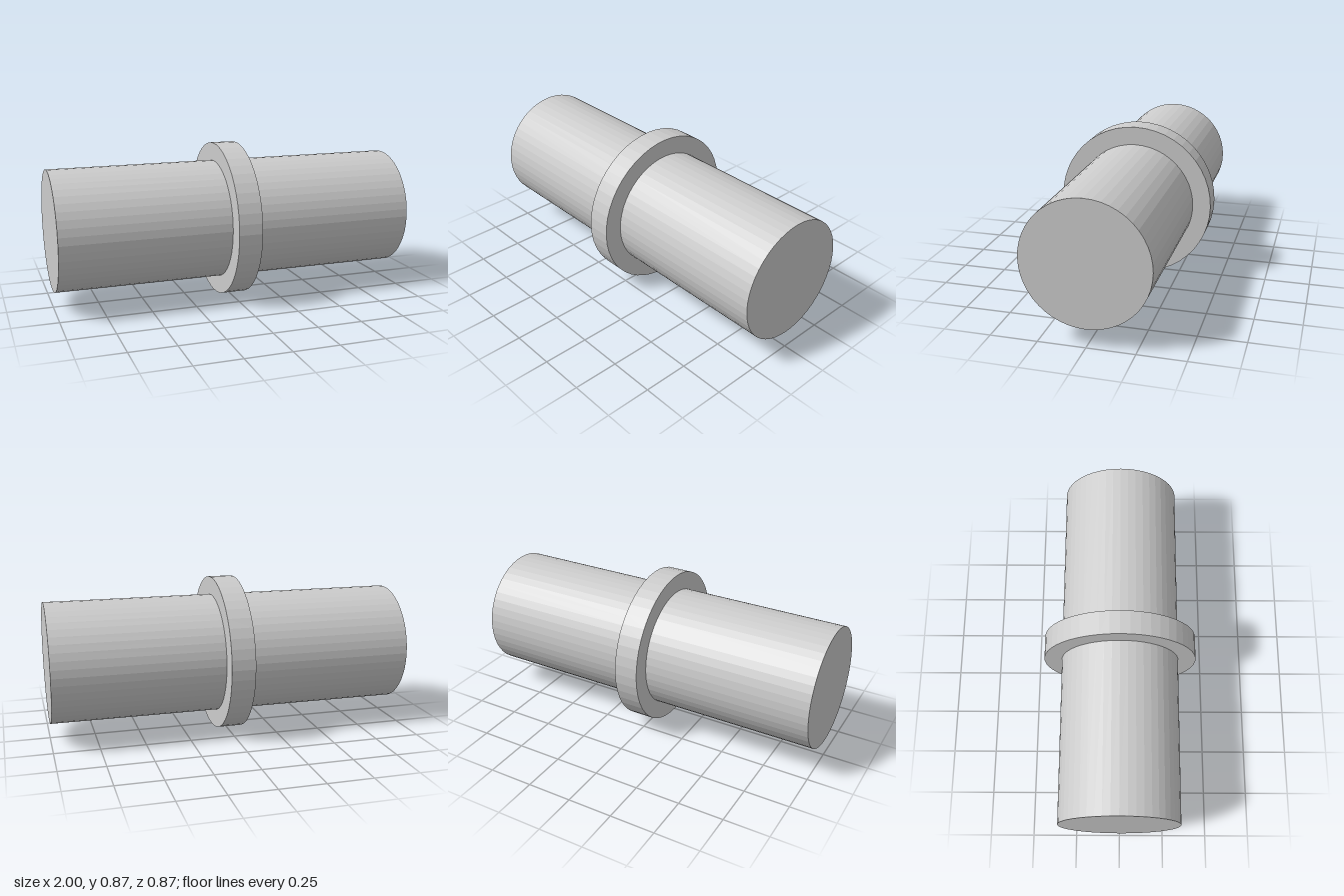
import * as THREE from 'three';

const SIDES = 48;
const AXIS_Y = 0.433; // height of the shared axis

export function createModel() {
  const group = new THREE.Group();
  group.name = 'collaredShaft';
  const material = new THREE.MeshStandardMaterial({ color: 0xcccccc, flatShading: true });

  // Closed cylinder lying along x
  const addCylinder = (name, radius, length, x) => {
    const geometry = new THREE.CylinderGeometry(radius, radius, length, SIDES);
    geometry.rotateZ(-Math.PI / 2);
    const mesh = new THREE.Mesh(geometry, material);
    mesh.name = name;
    mesh.position.set(x, AXIS_Y, 0);
    group.add(mesh);
  };

  // Raised collar in the middle, with a shaft half on each side
  const collarWidth = 0.133;
  const halfLength = 1 - collarWidth / 2;
  addCylinder('collar', 0.433, collarWidth, 0);
  for (const [name, side] of [['leftShaft', 1], ['rightShaft', -1]]) {
    addCylinder(name, 0.333, halfLength, side * (1 - halfLength / 2));
  }

  return group;
}
